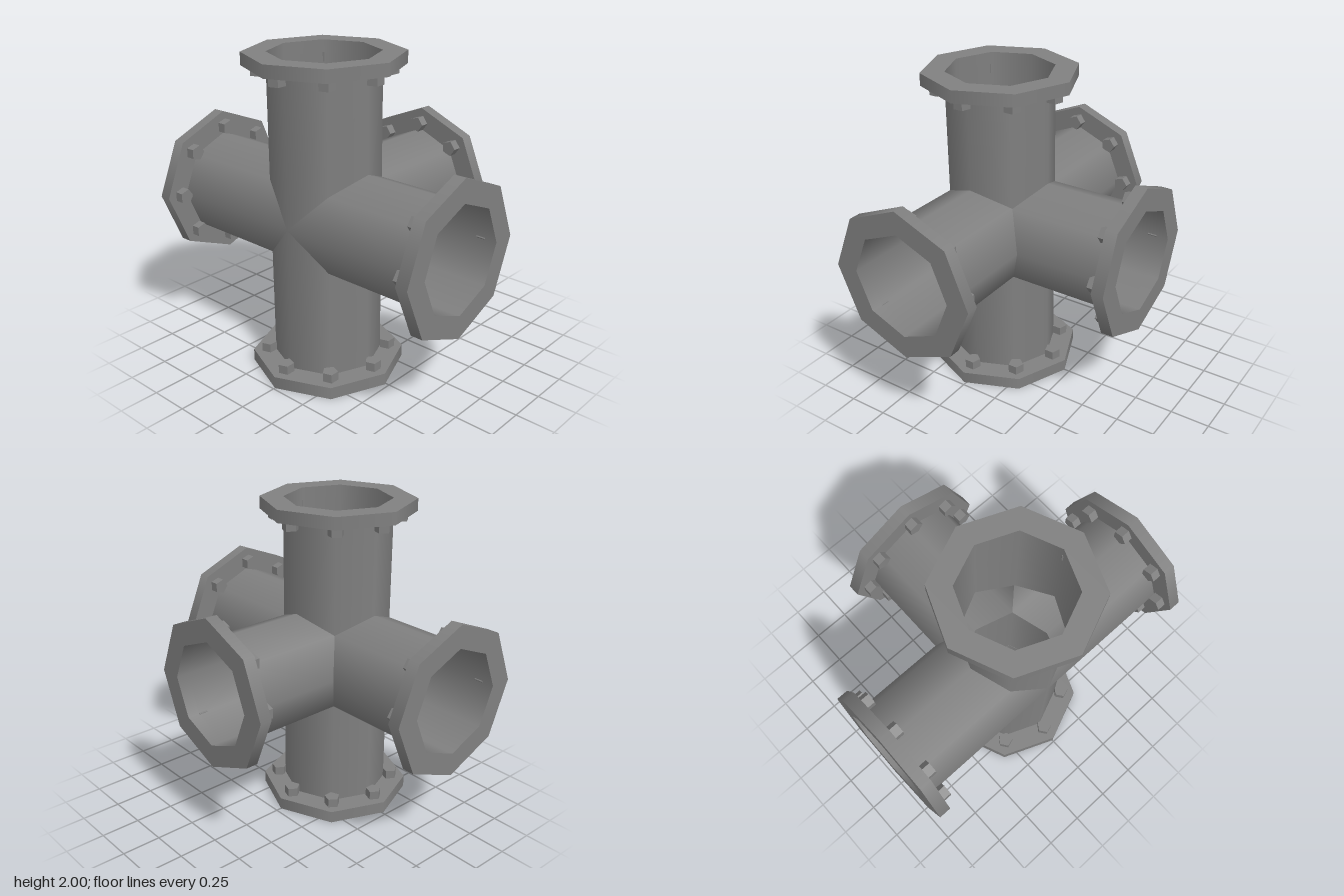
import * as THREE from 'three';
import { mergeGeometries } from 'three/addons/utils/BufferGeometryUtils.js';

const SIDES = 8, PIPE_R = 0.334, HOLE_R = 0.332, FLANGE_R = 0.4765;
const FLANGE_IN = 0.923, FLANGE_T = 1 - FLANGE_IN, BOLT_H = 0.057;
const V = (x, y, z) => new THREE.Vector3(x, y, z);

// Arms of the junction (the -x side is closed by its neighbours' walls):
// axis, and the way the corner of each five-sided bolt points
const ARMS = {
  top: [V(0, 1, 0), V(0, 0, -1)],
  bottom: [V(0, -1, 0), V(0, 0, -1)],
  left: [V(1, 0, 0), V(0, 0, 1)],
  front: [V(0, 0, 1), V(-1, 0, 0)],
  back: [V(0, 0, -1), V(1, 0, 0)],
};

// Octagonal tube along d, its inner end mitred against all the other arms
function pipeGeometry(d, u) {
  const v = d.clone().cross(u);
  const pos = [], nor = [], idx = [];
  for (let i = 0; i <= SIDES; i++) {
    const a = (i / SIDES) * Math.PI * 2;
    const n = u.clone().multiplyScalar(Math.cos(a)).addScaledVector(v, Math.sin(a));
    const p = n.clone().multiplyScalar(PIPE_R);
    const mitre = Math.max(...Object.values(ARMS).map(([axis]) => p.dot(axis)), 0);
    for (const depth of [mitre, FLANGE_IN]) {
      pos.push(...p.clone().addScaledVector(d, depth).toArray());
      nor.push(...n.toArray());
    }
    const k = i * 2;
    if (i < SIDES) idx.push(k, k + 2, k + 3, k, k + 3, k + 1);
  }
  const g = new THREE.BufferGeometry();
  g.setAttribute('position', new THREE.Float32BufferAttribute(pos, 3));
  g.setAttribute('normal', new THREE.Float32BufferAttribute(nor, 3));
  g.setIndex(idx);
  return g;
}

// Octagonal ring: rim, bore and two flat faces
function flangeGeometry() {
  const wall = (r) => new THREE.CylinderGeometry(r, r, FLANGE_T, SIDES, 1, true);
  const face = (s) => new THREE.RingGeometry(HOLE_R, FLANGE_R, SIDES, 1)
    .rotateX(-s * Math.PI / 2).translate(0, s * FLANGE_T / 2, 0);
  return mergeGeometries([wall(FLANGE_R), wall(HOLE_R), face(1), face(-1)])
    .translate(0, FLANGE_IN + FLANGE_T / 2, 0);
}

export function createModel() {
  const model = new THREE.Group();
  model.name = 'pipeJunction';
  const smooth = new THREE.MeshStandardMaterial({ color: 0x808080, side: THREE.DoubleSide });
  const flat = new THREE.MeshStandardMaterial({ color: 0x808080, flatShading: true });
  const flangeGeo = flangeGeometry();
  const boltGeo = new THREE.CylinderGeometry(0.05, 0.05, BOLT_H, 5);

  for (const [name, [axis, corner]] of Object.entries(ARMS)) {
    const pipe = new THREE.Mesh(pipeGeometry(axis, corner), smooth);
    pipe.name = name + 'Pipe';

    // Flange with a ring of bolts on its inner face, all turned the same way
    const end = new THREE.Group();
    end.name = name + 'FlangeAssembly';
    const flange = new THREE.Mesh(flangeGeo, smooth);
    flange.name = name + 'Flange';
    end.add(flange);
    for (let i = 0; i < 8; i++) {
      const a = (i / 8) * Math.PI * 2;
      const bolt = new THREE.Mesh(boltGeo, flat);
      bolt.name = name + 'Bolt' + (i + 1);
      bolt.position.set(0.377 * Math.sin(a), FLANGE_IN - BOLT_H / 2, 0.377 * Math.cos(a));
      end.add(bolt);
    }
    end.quaternion.setFromRotationMatrix(
      new THREE.Matrix4().makeBasis(axis.clone().cross(corner), axis, corner));
    model.add(pipe, end);
  }
  // Centre the whole width, from flange rim to the end of the left arm
  for (const part of model.children) part.position.set((FLANGE_R - 1) / 2, 1, 0);
  return model;
}
